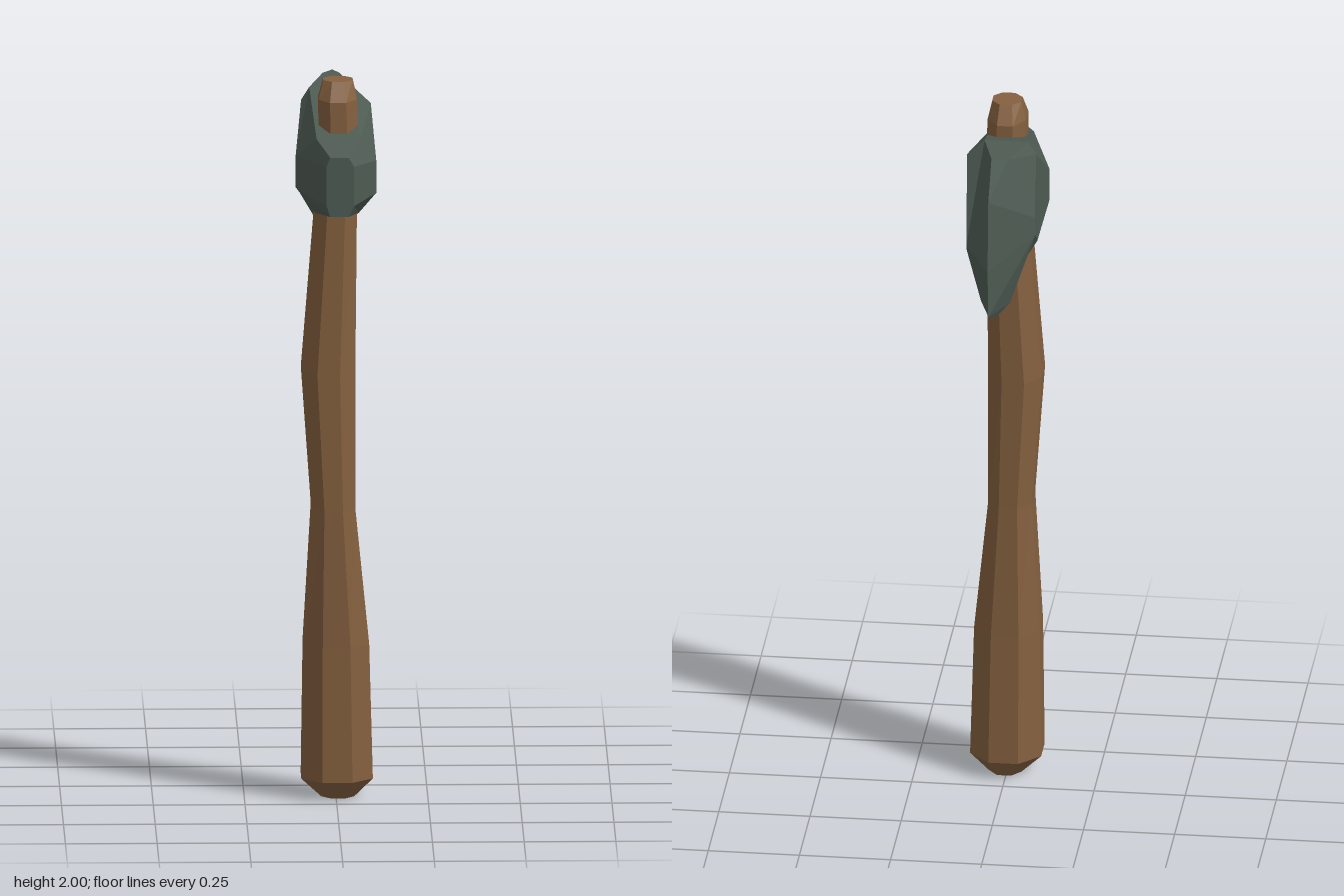
import * as THREE from 'three';

// Skins a list of equal-length rings of [x, y, z] points and caps both ends.
function loft(rings) {
  const pos = [];
  const tri = (...pts) => {
    const [a, b, c] = pts.map(p => new THREE.Vector3(...p));
    if (b.clone().sub(a).cross(c.clone().sub(a)).length() > 1e-7) pos.push(...pts.flat());
  };
  const n = rings[0].length;
  for (let i = 0; i < rings.length - 1; i++) {
    for (let j = 0; j < n; j++) {
      const k = (j + 1) % n, lo = rings[i], hi = rings[i + 1];
      tri(lo[j], lo[k], hi[k]);
      tri(lo[j], hi[k], hi[j]);
    }
  }
  const first = rings[0], last = rings[rings.length - 1];
  for (let j = 1; j < n - 1; j++) {
    tri(first[0], first[j + 1], first[j]);
    tri(last[0], last[j], last[j + 1]);
  }
  const g = new THREE.BufferGeometry();
  g.setAttribute('position', new THREE.Float32BufferAttribute(pos, 3));
  g.computeVertexNormals();
  return g;
}

function part(name, geometry, color) {
  const mesh = new THREE.Mesh(geometry, new THREE.MeshStandardMaterial({ color, flatShading: true }));
  mesh.name = name;
  return mesh;
}

// Chamfered rectangle at height y, counter-clockwise about +y.
function handleRing([y, x0, x1, z0, z1]) {
  const cx = (x0 + x1) / 2, cz = (z0 + z1) / 2, hx = (x1 - x0) / 2, hz = (z1 - z0) / 2, c = 0.42;
  return [[1, c], [1, -c], [c, -1], [-c, -1], [-1, -c], [-1, c], [-c, 1], [c, 1]]
    .map(([u, v]) => [cx + u * hx, y, cz + v * hz]);
}

export function createModel() {
  const group = new THREE.Group();
  group.name = 'axe';

  // Gently bowed wooden handle: y, x range, z range
  const handle = [
    [0, -0.04, 0.05, 0.07, 0.175],
    [0.055, -0.095, 0.1, 0.03, 0.23],
    [0.43, -0.09, 0.09, 0.042, 0.23],
    [0.81, -0.068, 0.052, 0.05, 0.235],
    [1.19, -0.095, 0.052, 0.05, 0.235],
    [1.6, -0.062, 0.056, 0.047, 0.235],
    [1.86, -0.048, 0.06, 0.08, 0.235],
    [1.95, -0.048, 0.056, 0.082, 0.233],
    [2, -0.035, 0.045, 0.113, 0.192],
  ].map(handleRing);
  group.add(part('handle', loft(handle), 0x84603f));

  // Head from the blunt poll to the blade; each ring runs
  // top, right side, bottom, left side
  const head = [
    [[-0.02, 1.825, 0.363], [0.03, 1.825, 0.363], [0.045, 1.8, 0.363], [0.045, 1.69, 0.363],
      [0.03, 1.66, 0.363], [-0.02, 1.66, 0.363], [-0.03, 1.69, 0.363], [-0.03, 1.8, 0.363]],
    [[-0.055, 1.855, 0.26], [0.063, 1.855, 0.26], [0.108, 1.79, 0.235], [0.108, 1.7, 0.235],
      [0.06, 1.645, 0.24], [-0.055, 1.645, 0.24], [-0.11, 1.7, 0.16], [-0.11, 1.79, 0.16]],
    [[-0.07, 1.945, 0], [0.05, 1.945, 0], [0.098, 1.9, 0], [0.1, 1.65, 0],
      [0.06, 1.59, 0], [-0.06, 1.59, 0], [-0.095, 1.65, 0], [-0.092, 1.91, 0]],
    [[-0.03, 1.955, -0.14], [0.015, 1.955, -0.14], [0.077, 1.72, -0.2], [0.077, 1.71, -0.2],
      [0.04, 1.54, -0.17], [-0.04, 1.54, -0.17], [-0.1, 1.71, -0.09], [-0.098, 1.76, -0.09]],
    // sharp blade edge
    [[0, 1.92, -0.345], [0, 1.92, -0.345], [0, 1.72, -0.362], [0, 1.575, -0.345],
      [0.01, 1.53, -0.25], [-0.01, 1.53, -0.25], [0, 1.575, -0.345], [0, 1.72, -0.362]],
  ];
  group.add(part('axeHead', loft(head), 0x4e5b53));

  return group;
}
